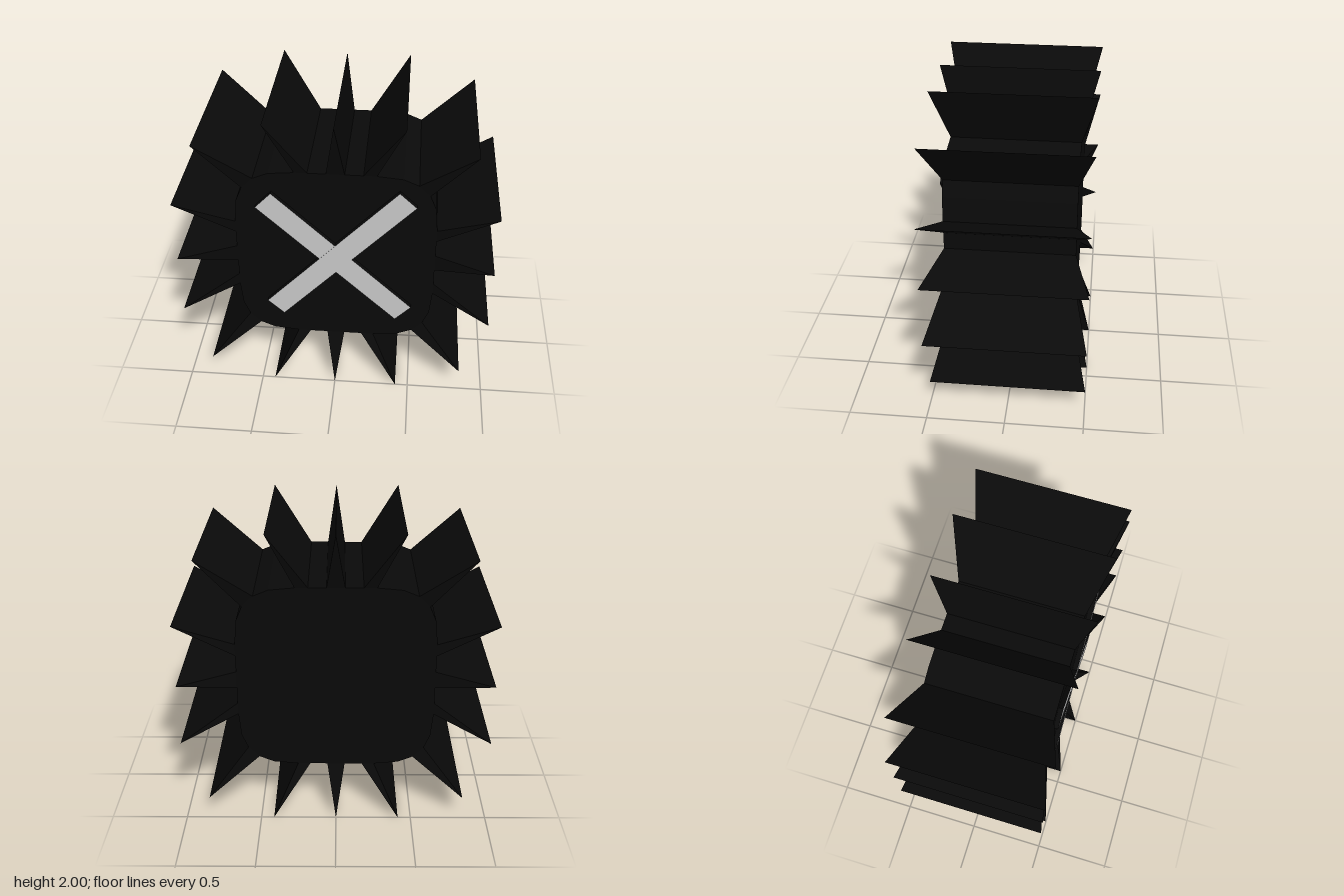
import * as THREE from 'three';

const CENTER_Y = 1;
const BODY_Z = 0.405; // half depth of the body
const TIP_Z = 0.5; // half depth of the spike tips

const black = new THREE.MeshStandardMaterial({ color: 0x0a0a0a, flatShading: true });
const grey = new THREE.MeshStandardMaterial({ color: 0xcccccc });

// Straight prism along z, centred on z = 0
function prism(points) {
  const shape = new THREE.Shape(points.map(([x, y]) => new THREE.Vector2(x, y)));
  const geometry = new THREE.ExtrudeGeometry(shape, { depth: BODY_Z * 2, bevelEnabled: false });
  return geometry.translate(0, 0, -BODY_Z);
}

const turn = ([x, y], quarter) => {
  for (let i = 0; i < quarter; i++) [x, y] = [-y, x];
  return [x, y];
};

// Wedge-shaped blade that flares in depth towards its tip
function blade(a, b, tip) {
  const geometry = prism([a, b, tip]);
  const p = geometry.attributes.position;
  for (let i = 0; i < p.count; i++) {
    if (Math.hypot(p.getX(i) - tip[0], p.getY(i) - tip[1]) < 1e-4) {
      p.setZ(i, Math.sign(p.getZ(i)) * TIP_Z);
    }
  }
  geometry.computeVertexNormals();
  return geometry;
}

export function createModel() {
  const model = new THREE.Group();
  const core = new THREE.Group();
  core.name = 'spikedBlock';
  core.position.y = CENTER_Y;
  model.add(core);

  // Body: a square with chamfered, rounded corners
  const corner = [[0.63, 0.25], [0.615, 0.41], [0.575, 0.505], [0.505, 0.575], [0.41, 0.615], [0.25, 0.63]];
  const outline = [];
  for (let q = 0; q < 4; q++) outline.push(...corner.map((p) => turn(p, q)));
  const body = new THREE.Mesh(prism(outline), black);
  body.name = 'body';
  core.add(body);

  // Four blades per quarter turn: [base, base, tip]
  const blades = [
    [[0.63, -0.057], [0.63, 0.057], [1, 0]],
    [[0.63, 0.17], [0.63, 0.25], [1, 0.415]],
    [[0.575, 0.505], [0.505, 0.575], [0.84, 0.84]],
    [[0.25, 0.63], [0.17, 0.63], [0.415, 1]],
  ];
  for (let q = 0; q < 4; q++) {
    for (const points of blades) {
      const spike = new THREE.Mesh(blade(...points.map((p) => turn(p, q))), black);
      spike.name = 'spike';
      core.add(spike);
    }
  }

  // Crossed bars on the front, dark at the sides with a light face
  const bars = [
    { x: 0.026, y: 0.038, angle: 46.8, top: 0.436 },
    { x: 0, y: 0.015, angle: -43.6, top: 0.435 },
  ];
  for (const { x, y, angle, top } of bars) {
    const depth = top - BODY_Z + 0.02;
    const bar = new THREE.Mesh(
      new THREE.BoxGeometry(1.224, 0.147, depth),
      [black, black, black, black, grey, black],
    );
    bar.name = 'crossBar';
    bar.position.set(x, y, top - depth / 2);
    bar.rotation.z = THREE.MathUtils.degToRad(angle);
    core.add(bar);
  }
  return model;
}
